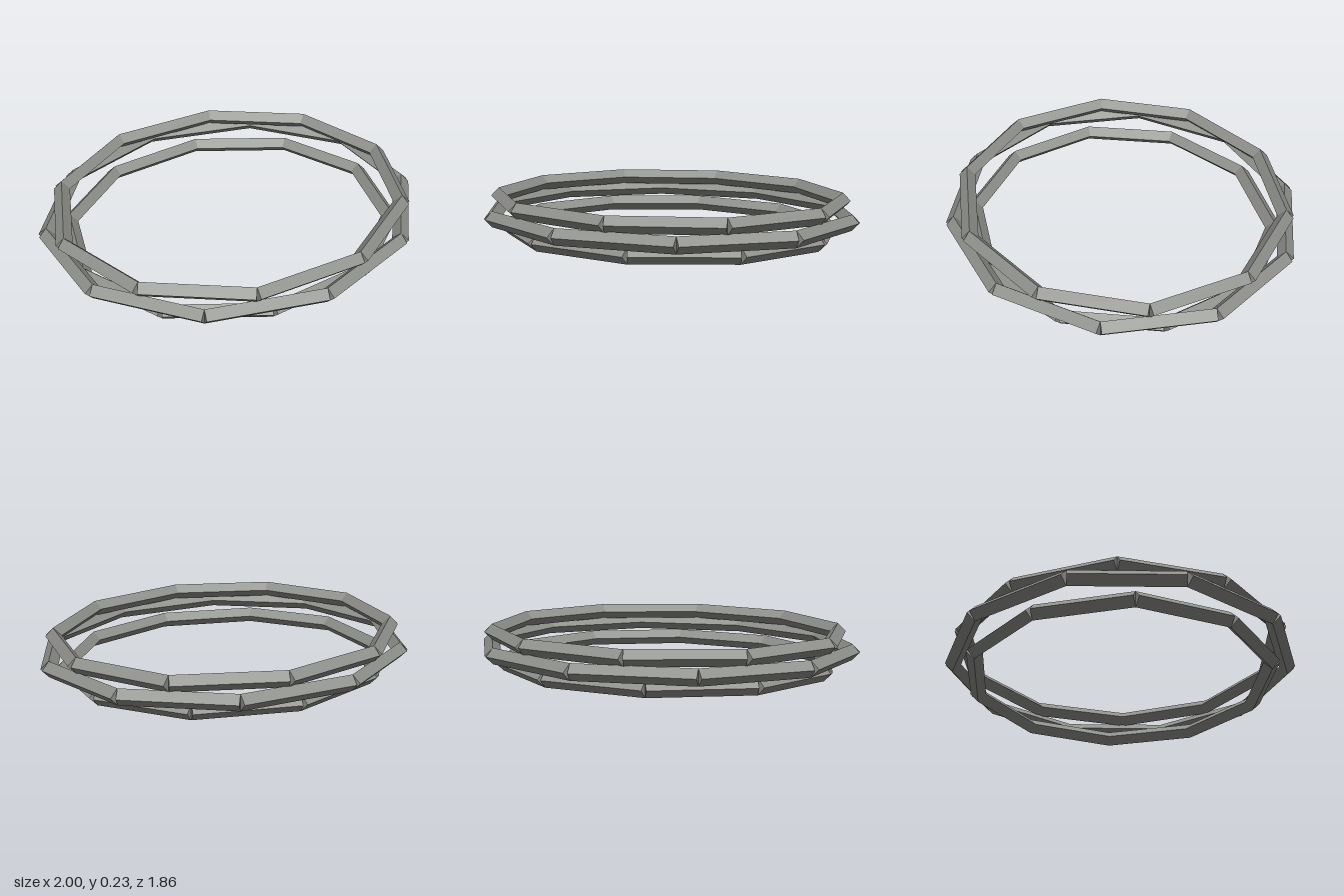
import * as THREE from 'three';

const SIDES = 10;      // bars per ring
const HALF = 0.042;    // half diagonal of the square bar section
const RATIO = 0.9;     // depth of each oval ring relative to its width

// Oval ring of straight square bars, each standing on its edge
function makeRing(name, radius, y, offsetDegrees, material) {
  const ring = new THREE.Group();
  ring.name = name;
  const point = (i) => {
    const a = (i / SIDES) * Math.PI * 2 + THREE.MathUtils.degToRad(offsetDegrees);
    return new THREE.Vector3(Math.cos(a) * radius, y, -Math.sin(a) * radius * RATIO);
  };
  const size = HALF * Math.SQRT2;
  for (let i = 0; i < SIDES; i++) {
    const a = point(i), b = point(i + 1);
    const geometry = new THREE.BoxGeometry(a.distanceTo(b), size, size);
    geometry.rotateX(Math.PI / 4);
    const bar = new THREE.Mesh(geometry, material);
    bar.name = name + 'Bar' + (i + 1);
    bar.position.copy(a).add(b).multiplyScalar(0.5);
    bar.rotation.y = Math.atan2(-(b.z - a.z), b.x - a.x);
    ring.add(bar);
  }
  return ring;
}

export function createModel() {
  const model = new THREE.Group();
  model.name = 'stackedRings';
  const stone = new THREE.MeshStandardMaterial({ color: 0x8e908b });
  stone.name = 'stoneGrey';

  // Three stacked rings, each turned a little further than the one below
  model.add(makeRing('lowerRing', 0.887, 0.042, 0, stone));
  model.add(makeRing('middleRing', 0.991, 0.118, 15, stone));
  model.add(makeRing('upperRing', 0.943, 0.193, 30, stone));
  return model;
}
